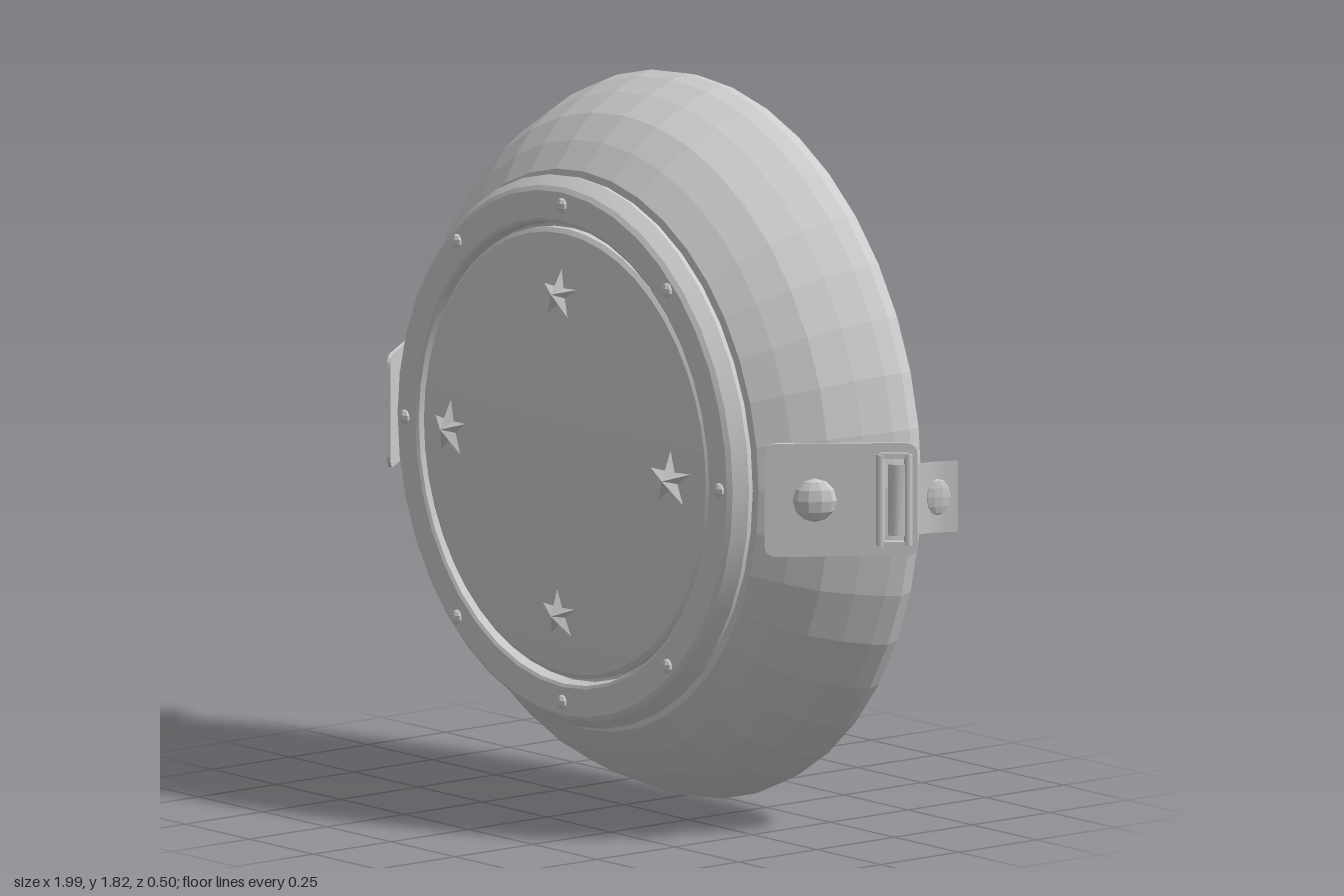
import * as THREE from 'three';
import { toCreasedNormals } from 'three/addons/utils/BufferGeometryUtils.js';

const CY = 0.912; // height of the disc's axis

export function createModel() {
  const model = new THREE.Group();
  model.name = 'roundCase';
  const grey = new THREE.MeshStandardMaterial({ color: 0xcccccc });
  grey.name = 'light grey';
  const greyThin = new THREE.MeshStandardMaterial({ color: 0xcccccc, side: THREE.DoubleSide });
  greyThin.name = 'light grey';

  const add = (parent, name, geometry, x = 0, y = 0, z = 0, material = grey) => {
    const mesh = new THREE.Mesh(geometry, material);
    mesh.name = name;
    mesh.position.set(x, y, z);
    parent.add(mesh);
    return mesh;
  };
  // Profile of [radius, z] pairs, back to front, turned about the z axis
  const turned = (profile, segments, widthScale, crease) => {
    const g = new THREE.LatheGeometry(profile.map(([r, z]) => new THREE.Vector2(r, z)), segments);
    g.rotateX(Math.PI / 2).scale(widthScale, 1, 1);
    return toCreasedNormals(g, crease);
  };

  // Bowl-shaped body with a flat back
  add(model, 'body', turned([
    [0, -0.25], [0.87, -0.25], [0.903, -0.236], [0.912, -0.2], [0.902, -0.155],
    [0.872, -0.08], [0.83, 0], [0.77, 0.07], [0.705, 0.13], [0, 0.13],
  ], 40, 0.966, 0.1), 0, CY, 0);

  // Raised ring round the lid
  add(model, 'rimRing', turned([
    [0.66, 0.125], [0.69, 0.14], [0.694, 0.155], [0.672, 0.19], [0.66, 0.199],
    [0.59, 0.199], [0.582, 0.194], [0.575, 0.165], [0.55, 0.16],
  ], 40, 0.972, 0.3), 0, CY, 0);

  // Shallow conical lid
  add(model, 'lid', turned([
    [0.566, 0.13], [0.566, 0.182], [0.555, 0.191], [0, 0.255],
  ], 48, 0.99, 0.3), 0, CY, 0);

  // Rivets on the ring
  const rivet = toCreasedNormals(new THREE.SphereGeometry(0.019, 7, 5).scale(1, 1, 0.7), 0.1);
  const spots = [[0.613, 0], [-0.613, 0], [0, 0.628], [0, -0.628]];
  for (const sx of [-1, 1]) for (const sy of [-1, 1]) spots.push([sx * 0.41, sy * 0.475]);
  spots.forEach(([x, y]) => add(model, 'rivet', rivet, x, CY + y, 0.2));

  // Faceted five-pointed stars: a ten-sided cone with alternate corners pulled in
  const cone = new THREE.ConeGeometry(0.08, 0.035, 10, 1).rotateX(Math.PI / 2);
  const p = cone.attributes.position;
  for (let i = 0; i < p.count; i++) {
    const k = Math.round(Math.atan2(p.getX(i), p.getY(i)) / (Math.PI / 5));
    const s = k % 2 === 0 ? 1 : 0.34;
    p.setXY(i, p.getX(i) * s, p.getY(i) * s);
  }
  const star = toCreasedNormals(cone, 0.1);
  const slope = 0.115;
  for (const [dx, dy] of [[1, 0], [-1, 0], [0, 1], [0, -1]]) {
    const mesh = add(model, 'star', star, dx * 0.43, CY + dy * 0.405, 0.219);
    mesh.rotation.set(-dy * slope, dx * slope, 0);
  }

  // Rounded rectangle, as a shape or a hole
  const rounded = (Type, x0, x1, h, r) => {
    const s = new Type();
    s.moveTo(x0 + r, -h);
    s.lineTo(x1 - r, -h);
    s.quadraticCurveTo(x1, -h, x1, -h + r);
    s.lineTo(x1, h - r);
    s.quadraticCurveTo(x1, h, x1 - r, h);
    s.lineTo(x0 + r, h);
    s.quadraticCurveTo(x0, h, x0, h - r);
    s.lineTo(x0, -h + r);
    s.quadraticCurveTo(x0, -h, x0 + r, -h);
    return s;
  };
  const plateShape = rounded(THREE.Shape, -0.19, 0.19, 0.143, 0.03);
  plateShape.holes.push(rounded(THREE.Path, 0.1, 0.165, 0.105, 0.01));
  const plate = new THREE.ExtrudeGeometry(plateShape, { depth: 0.009, bevelEnabled: false, curveSegments: 4 });
  plate.translate(0, 0, -0.0045);
  const knob = toCreasedNormals(new THREE.SphereGeometry(0.055, 10, 6).scale(1, 1, 0.5), 0.1);

  // Curved strap end: a flat sheet bent along a path seen from above
  const bend = new THREE.CatmullRomCurve3([[0.925, -0.085], [0.95, -0.1], [0.962, -0.145], [0.972, -0.2], [0.997, -0.25]]
    .map(([x, z]) => new THREE.Vector3(x, 0, z)));
  const strap = new THREE.PlaneGeometry(1, 0.18, 8, 1);
  const sp = strap.attributes.position;
  for (let i = 0; i < sp.count; i++) {
    const q = bend.getPoint(sp.getX(i) + 0.5);
    sp.setXYZ(i, q.x, sp.getY(i), q.z);
  }
  strap.computeVertexNormals();

  // One clasp on each side
  for (const [name, turn] of [['leftClasp', 0], ['rightClasp', Math.PI]]) {
    const clasp = new THREE.Group();
    clasp.name = name;
    clasp.position.y = 0.9;
    clasp.rotation.z = turn;
    model.add(clasp);

    const buckle = new THREE.Group();
    buckle.name = 'buckle';
    buckle.position.set(0.848, 0, 0.003);
    buckle.rotation.y = 0.914;
    clasp.add(buckle);
    add(buckle, 'bucklePlate', plate);
    add(buckle, 'buckleKnob', knob, -0.065, 0, 0.005);
    // Raised frame and cross bar round the slot
    for (const u of [0.098, 0.167])
      add(buckle, 'slotBar', new THREE.CylinderGeometry(0.011, 0.011, 0.23, 8), u, 0, 0.008);
    for (const v of [-0.112, 0.112])
      add(buckle, 'slotEnd', new THREE.BoxGeometry(0.07, 0.014, 0.016), 0.132, v, 0.008);

    add(clasp, 'strapEnd', strap, 0, 0, 0, greyThin);
    const stud = add(clasp, 'strapStud', knob, 0.973, 0, -0.205);
    stud.rotation.y = 1.2;
    stud.scale.set(0.65, 0.85, 0.4);
  }
  return model;
}
